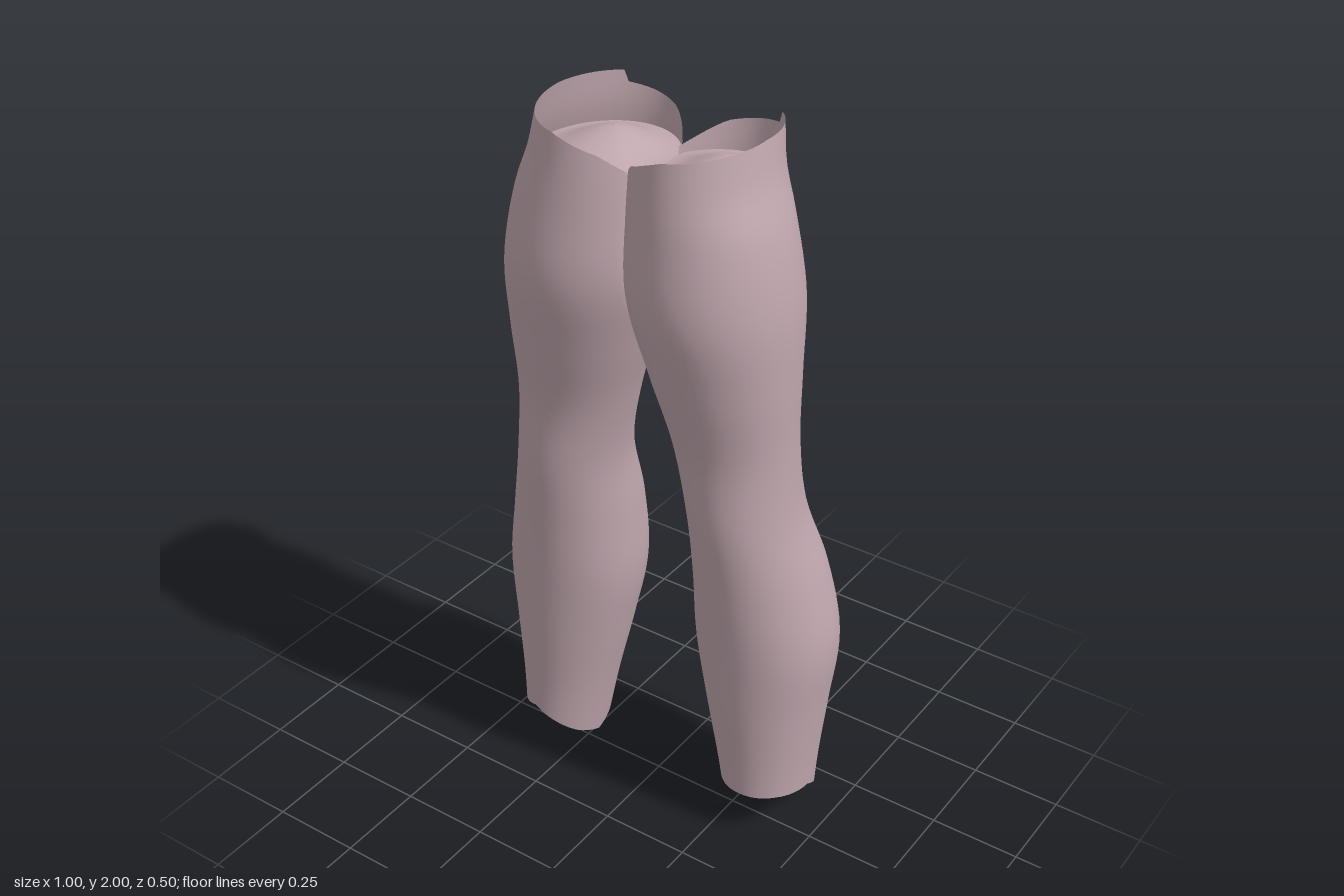
import * as THREE from 'three';

const COLUMNS = 64, ROWS = 56, CAP_RINGS = 10;

// Leg cross-sections by height: inner x, outer x, front z, back z
const HEIGHTS = [0, 0.2, 0.4, 0.6, 0.8, 1.0, 1.2, 1.4, 1.6, 1.8, 1.9, 2.0];
const SECTIONS = [
  0.24, 0.455, 0.10, -0.175,
  0.20, 0.465, 0.105, -0.195,
  0.155, 0.482, 0.118, -0.225,
  0.118, 0.497, 0.13, -0.25,
  0.12, 0.46, 0.145, -0.23,
  0.122, 0.412, 0.165, -0.17,
  0.08, 0.397, 0.17, -0.148,
  0.02, 0.398, 0.21, -0.165,
  -0.03, 0.392, 0.248, -0.198,
  -0.03, 0.352, 0.232, -0.188,
  -0.025, 0.315, 0.22, -0.195,
  -0.02, 0.293, 0.21, -0.215,
];
const sections = new THREE.CubicInterpolant(HEIGHTS, SECTIONS, 4);

// Edge heights around the leg, as [degrees, y]: 0 outer, 90 front, 180 inner, 270 back
const RIM = [[0, 2.0], [45, 1.995], [85, 1.985], [100, 1.97], [125, 1.94], [150, 1.885], [180, 1.86],
  [215, 1.885], [245, 1.93], [270, 1.945], [298, 1.96], [303, 1.99], [360, 2.0]];
const HEM_LEFT = [[0, 0.14], [45, 0.148], [90, 0.148], [135, 0.14], [160, 0.1], [180, 0.065],
  [215, 0.065], [270, 0.085], [315, 0.075], [335, 0.1], [360, 0.14]];
const HEM_RIGHT = [[0, 0.055], [40, 0.095], [80, 0.125], [110, 0.09], [145, 0.04], [180, 0.0],
  [215, 0.03], [270, 0.085], [315, 0.07], [360, 0.055]];

function lookup(table, degrees) {
  const i = Math.max(1, table.findIndex(([d]) => d >= degrees));
  const [d0, y0] = table[i - 1], [d1, y1] = table[i];
  return THREE.MathUtils.mapLinear(degrees, d0, d1, y0, y1);
}

// Point on the leg surface; the thighs are cut flat where they meet at the middle
function surfacePoint(degrees, y) {
  const [inner, outer, front, back] = sections.evaluate(y);
  const a = THREE.MathUtils.degToRad(degrees);
  const x = (inner + outer) / 2 + (outer - inner) / 2 * Math.cos(a);
  const z = (front + back) / 2 + (front - back) / 2 * Math.sin(a);
  return new THREE.Vector3(Math.max(0, x), y, z);
}

// Joins rows of points around the leg into a smooth surface
function loft(rows, side) {
  const positions = [], index = [];
  rows.forEach(row => row.forEach(p => positions.push(p.x * side, p.y, p.z)));
  const onMiddle = (...ids) => ids.every(i => Math.abs(positions[i * 3]) < 1e-6);
  const addFace = (a, b, c) => {
    if (onMiddle(a, b, c)) return; // no wall between the joined thighs
    if (side > 0) index.push(a, b, c); else index.push(a, c, b);
  };
  for (let r = 0; r < rows.length - 1; r++) {
    for (let c = 0; c < COLUMNS; c++) {
      const n = (c + 1) % COLUMNS;
      const a = r * COLUMNS + c, b = r * COLUMNS + n;
      const d = a + COLUMNS, e = b + COLUMNS;
      addFace(a, d, b);
      addFace(b, d, e);
    }
  }
  const geometry = new THREE.BufferGeometry();
  geometry.setAttribute('position', new THREE.Float32BufferAttribute(positions, 3));
  geometry.setIndex(index);
  geometry.computeVertexNormals();
  return geometry;
}

const around = fn => Array.from({ length: COLUMNS }, (_, c) => fn(c * 360 / COLUMNS));

// Open tube from the uneven hem to the uneven waist rim
function legGeometry(side) {
  const hem = side > 0 ? HEM_LEFT : HEM_RIGHT;
  const rows = [];
  for (let r = 0; r <= ROWS; r++) {
    rows.push(around(d => surfacePoint(d,
      THREE.MathUtils.lerp(lookup(hem, d), lookup(RIM, d), r / ROWS))));
  }
  return loft(rows, side);
}

// Sunken, softly domed surface inside the rim
function capGeometry(side) {
  const centre = new THREE.Vector3(0.16, 1.86, -0.04);
  const rows = [];
  for (let r = 0; r <= CAP_RINGS; r++) {
    const t = r / CAP_RINGS;
    rows.push(around(d => {
      const p = surfacePoint(d, Math.min(1.86, lookup(RIM, d))).lerp(centre, t * 0.995);
      p.y += 0.05 * t * t * (3 - 2 * t);
      return p;
    }));
  }
  return loft(rows, side);
}

export function createModel() {
  const cloth = new THREE.MeshStandardMaterial({ color: 0xbfa6ad, side: THREE.DoubleSide });
  cloth.name = 'dusty pink';
  const model = new THREE.Group();
  model.name = 'legs';
  for (const [side, label] of [[1, 'left'], [-1, 'right']]) {
    const leg = new THREE.Mesh(legGeometry(side), cloth);
    leg.name = label + 'Leg';
    const cap = new THREE.Mesh(capGeometry(side), cloth);
    cap.name = label + 'HipCap';
    model.add(leg, cap);
  }
  return model;
}
